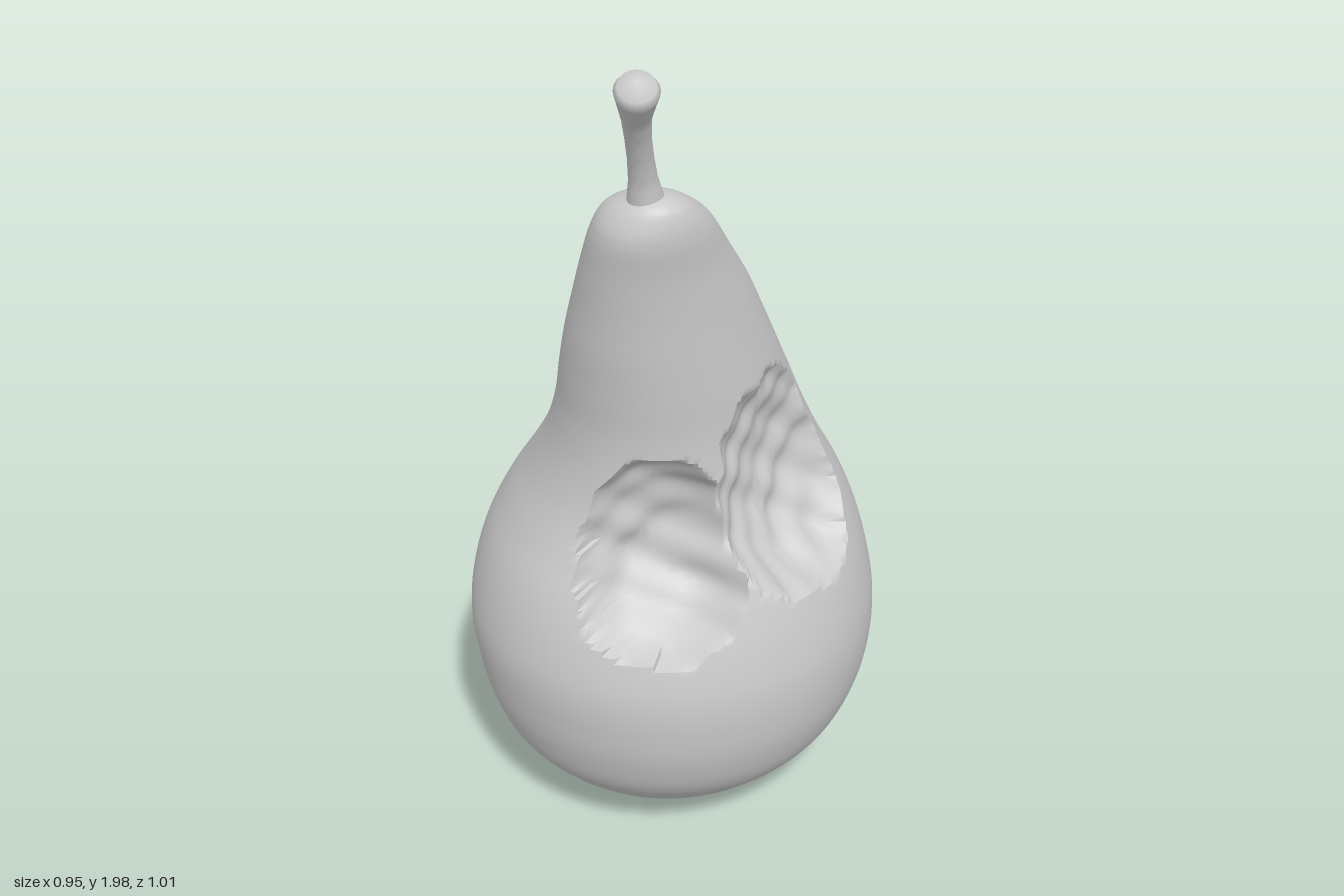
import * as THREE from 'three';
import { toCreasedNormals } from 'three/addons/utils/BufferGeometryUtils.js';

const material = new THREE.MeshStandardMaterial({ color: 0xcccccc, roughness: 0.8 });

// Body outline from the base dimple to the neck: [y, xMin, xMax, zMin, zMax]
const OUTLINE = [
  [0.05, -0.005, 0.005, -0.005, 0.005], [0.035, -0.05, 0.06, -0.06, 0.05],
  [0.012, -0.14, 0.16, -0.17, 0.12], [0.035, -0.22, 0.23, -0.25, 0.23],
  [0.1, -0.32, 0.32, -0.345, 0.335], [0.2, -0.405, 0.41, -0.425, 0.43],
  [0.3, -0.45, 0.455, -0.472, 0.475], [0.4, -0.47, 0.473, -0.497, 0.497],
  [0.5, -0.478, 0.472, -0.503, 0.505], [0.6, -0.465, 0.452, -0.49, 0.49],
  [0.7, -0.435, 0.42, -0.465, 0.46], [0.8, -0.385, 0.38, -0.42, 0.415],
  [0.9, -0.315, 0.345, -0.35, 0.377], [1.0, -0.25, 0.32, -0.285, 0.357],
  [1.1, -0.205, 0.305, -0.225, 0.352], [1.2, -0.17, 0.295, -0.165, 0.36],
  [1.3, -0.13, 0.283, -0.105, 0.37], [1.4, -0.085, 0.272, -0.04, 0.376],
  [1.5, -0.035, 0.262, 0.04, 0.384], [1.59, 0.015, 0.26, 0.12, 0.39],
  [1.64, 0.055, 0.25, 0.185, 0.375], [1.67, 0.115, 0.23, 0.245, 0.35],
  [1.685, 0.175, 0.185, 0.305, 0.315],
];

// Two overlapping bites: centre, radii and squareness
const BITES = [
  { c: [0.53, 0.975, 0.01], r: [0.307, 0.31, 0.28], p: 2.5 },
  { c: [0.31, 0.86, 0.45], r: [0.275, 0.27, 0.275], p: 2.2 },
];

// Uneven tooth-torn flesh
const rough = (x, y, z) =>
  0.022 * Math.sin(31 * y + 9 * z) * Math.sin(27 * z - 8 * x + 1) +
  0.016 * Math.sin(53 * y - 37 * z + 2) + 0.012 * Math.sin(71 * z + 47 * y + 19 * x);

function insideBite(x, y, z) {
  const n = rough(x, y, z);
  return BITES.some(({ c, r, p }) =>
    Math.abs((x - c[0]) / r[0]) ** p + Math.abs((y - c[1]) / r[1]) ** p +
    Math.abs((z - c[2]) / r[2]) ** p < 1 + 2 * n);
}

// How far out along a ray from the core the flesh reaches
function fleshReach(cx, cz, dx, dz, y) {
  if (y < 0.5 || y > 1.35) return 1;
  for (let t = 0.3; t <= 1; t += 0.02) {
    if (!insideBite(cx + dx * t, y, cz + dz * t)) continue;
    let lo = t - 0.02, hi = t;
    for (let k = 0; k < 7; k++) {
      const m = (lo + hi) / 2;
      if (insideBite(cx + dx * m, y, cz + dz * m)) hi = m; else lo = m;
    }
    return lo;
  }
  return 1;
}

function bodyGeometry() {
  const curve = (a, b) => new THREE.CatmullRomCurve3(
    OUTLINE.map((k) => new THREE.Vector3(k[a], k[0], k[b])), false, 'catmullrom', 0.5);
  const xs = curve(1, 2), zs = curve(3, 4);
  const rows = (OUTLINE.length - 1) * 8, seg = 200, pos = [], idx = [];
  for (let i = 0; i <= rows; i++) {
    const X = xs.getPoint(i / rows), Z = zs.getPoint(i / rows), y = X.y;
    const cx = (X.x + X.z) / 2, rx = (X.z - X.x) / 2;
    const cz = (Z.x + Z.z) / 2, rz = (Z.z - Z.x) / 2;
    for (let j = 0; j < seg; j++) {
      const a = (j / seg) * Math.PI * 2;
      const dx = Math.cos(a) * rx, dz = Math.sin(a) * rz;
      const t = fleshReach(cx, cz, dx, dz, y);
      pos.push(cx + dx * t, y, cz + dz * t);
      if (i === rows) continue;
      const p = i * seg + j, q = i * seg + ((j + 1) % seg);
      idx.push(p, p + seg, q, q, p + seg, q + seg);
    }
  }
  const geo = new THREE.BufferGeometry();
  geo.setAttribute('position', new THREE.Float32BufferAttribute(pos, 3));
  geo.setIndex(idx);
  return toCreasedNormals(geo, 0.7);
}

// Stem: a tube whose rings flare at the foot and at the rounded tip
function stemGeometry() {
  const path = new THREE.CatmullRomCurve3([
    new THREE.Vector3(0.16, 1.61, 0.295), new THREE.Vector3(0.175, 1.75, 0.335),
    new THREE.Vector3(0.203, 1.87, 0.385), new THREE.Vector3(0.247, 1.975, 0.438)]);
  const n = 28, sides = 20;
  const radii = [0.055, 0.04, 0.03, 0.027, 0.027, 0.03, 0.04, 0.051];
  const geo = new THREE.TubeGeometry(path, n, 1, sides, false);
  const p = geo.attributes.position, v = new THREE.Vector3();
  for (let k = 0; k < p.count; k++) {
    const i = Math.floor(k / (sides + 1)), u = i / n;
    const f = u * (radii.length - 1), j = Math.min(Math.floor(f), radii.length - 2);
    let r = THREE.MathUtils.lerp(radii[j], radii[j + 1], f - j);
    if (i === n) r = 0.0005;
    else if (i === n - 1) r *= 0.8;
    const c = path.getPointAt(u);
    v.fromBufferAttribute(p, k).sub(c).multiplyScalar(r).add(c);
    p.setXYZ(k, v.x, v.y, v.z);
  }
  geo.deleteAttribute('uv');
  return toCreasedNormals(geo, 0.9);
}

export function createModel() {
  const group = new THREE.Group();
  const add = (name, geo, parent = group) => {
    const mesh = new THREE.Mesh(geo, material);
    mesh.name = name;
    parent.add(mesh);
    return mesh;
  };
  add('bittenBody', bodyGeometry());
  add('stem', stemGeometry());

  // Dried flower end in the base dimple
  const calyx = new THREE.Group();
  calyx.name = 'calyx';
  calyx.position.set(0.005, 0.026, -0.005);
  for (let i = 0; i < 5; i++) {
    const a = (i / 5) * Math.PI * 2;
    const sepal = add('sepal', new THREE.ConeGeometry(0.014, 0.045, 5), calyx);
    sepal.position.set(Math.cos(a) * 0.032, 0, Math.sin(a) * 0.032);
    sepal.rotation.set(Math.PI - 0.35 * Math.sin(a), 0, 0.35 * Math.cos(a));
  }
  group.add(calyx);
  return group;
}
